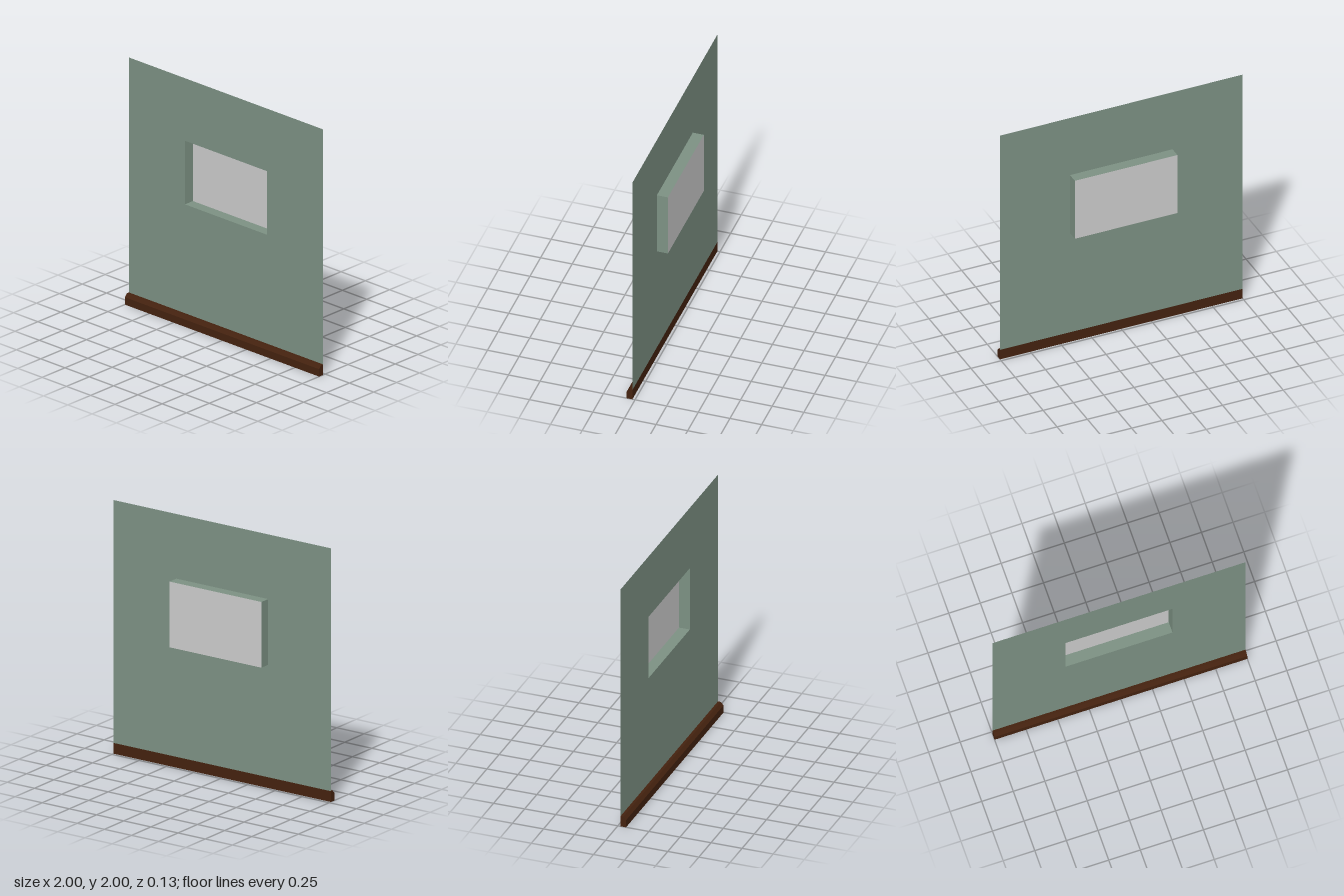
import * as THREE from 'three';

const W = 0.423, Y0 = 0.972, Y1 = 1.49;        // window opening
const WALL_Z = 0.021, BACK_Z = -0.066, FRONT_Z = 0.066;
const BOARD_H = 0.085;

export function createModel() {
  const group = new THREE.Group();
  const green = new THREE.MeshStandardMaterial({ color: 0x7c9183, side: THREE.DoubleSide });
  const grey = new THREE.MeshStandardMaterial({ color: 0xcccccc, side: THREE.DoubleSide });
  const brown = new THREE.MeshStandardMaterial({ color: 0x44220f, flatShading: true });

  const add = (name, geometry, material, x = 0, y = 0, z = 0) => {
    const mesh = new THREE.Mesh(geometry, material);
    mesh.name = name;
    mesh.position.set(x, y, z);
    group.add(mesh);
    return mesh;
  };
  const rectangle = (target, x, y0, y1) => target
    .moveTo(-x, y0).lineTo(x, y0).lineTo(x, y1).lineTo(-x, y1).closePath();

  // Thin wall with the window opening
  const wall = rectangle(new THREE.Shape(), 1, BOARD_H, 2);
  wall.holes.push(rectangle(new THREE.Path(), W, Y0, Y1));
  add('wall', new THREE.ShapeGeometry(wall), green, 0, 0, WALL_Z);

  // Four reveal faces running back from the opening
  const depth = WALL_Z - BACK_Z, midZ = (WALL_Z + BACK_Z) / 2, midY = (Y0 + Y1) / 2;
  for (const s of [-1, 1]) {
    add(s < 0 ? 'rightReveal' : 'leftReveal', new THREE.PlaneGeometry(depth, Y1 - Y0), green,
      s * W, midY, midZ).rotation.y = -s * Math.PI / 2;
    add(s < 0 ? 'sill' : 'topReveal', new THREE.PlaneGeometry(2 * W, depth), green,
      0, s < 0 ? Y0 : Y1, midZ).rotation.x = s * Math.PI / 2;
  }

  // Window pane closing the recess
  add('windowPane', new THREE.PlaneGeometry(2 * W, Y1 - Y0), grey, 0, midY, BACK_Z);

  // Baseboard: chamfered section (shape x becomes -z) swept along x
  const section = new THREE.Shape([
    [-FRONT_Z, 0], [-WALL_Z, 0], [-WALL_Z, BOARD_H], [-0.043, BOARD_H], [-FRONT_Z, 0.06],
  ].map(([x, y]) => new THREE.Vector2(x, y)));
  const board = new THREE.ExtrudeGeometry(section, { depth: 2, bevelEnabled: false });
  board.rotateY(Math.PI / 2);
  add('baseboard', board, brown, -1, 0, 0);

  return group;
}
